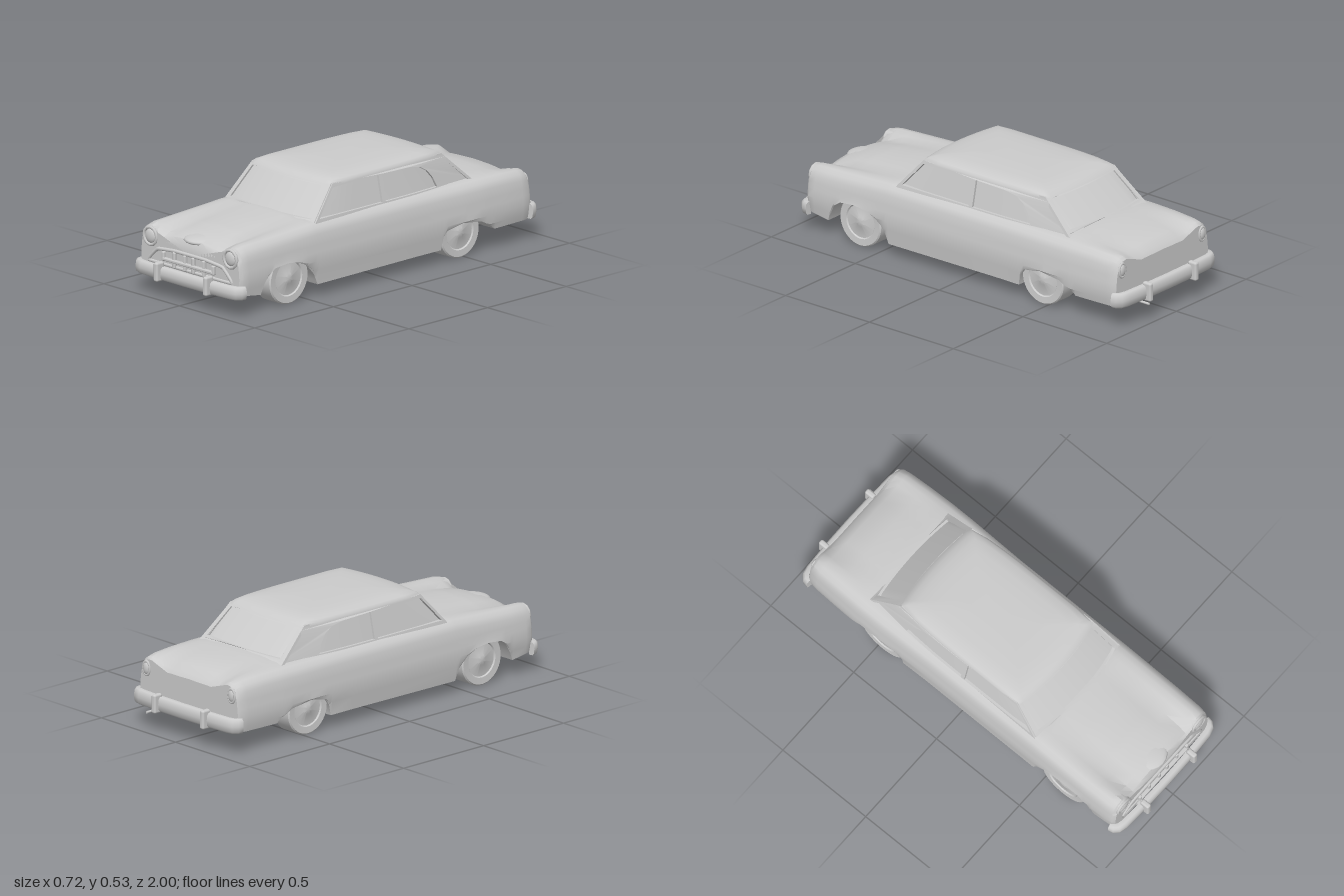
import * as THREE from 'three';
import { toCreasedNormals } from 'three/addons/utils/BufferGeometryUtils.js';
import { RoundedBoxGeometry } from 'three/addons/geometries/RoundedBoxGeometry.js';

const mat = new THREE.MeshStandardMaterial({ color: 0xcccccc, side: THREE.DoubleSide });

// Piecewise-linear lookup in rows [z, a, b, ...] sorted by falling z
function sample(rows, z) {
  let i = 0;
  while (i < rows.length - 2 && z < rows[i + 1][0]) i++;
  const a = rows[i], b = rows[i + 1];
  const t = THREE.MathUtils.clamp((z - a[0]) / (b[0] - a[0]), 0, 1);
  return a.slice(1).map((v, k) => v + (b[k + 1] - v) * t);
}

// Skin over closed rings of [x, y, z], capped at both ends
function loft(rings, crease = 0.6) {
  const n = rings[0].length, pos = rings.flat(2), idx = [];
  for (let i = 0; i < rings.length - 1; i++) for (let j = 0; j < n; j++) {
    const a = i * n + j, b = i * n + (j + 1) % n;
    idx.push(a, b, a + n, b, b + n, a + n);
  }
  [0, rings.length - 1].forEach((r, end) => {
    const c = pos.length / 3;
    for (let k = 0; k < 3; k++) pos.push(rings[r].reduce((s, p) => s + p[k], 0) / n);
    for (let j = 0; j < n; j++) {
      const a = r * n + j, b = r * n + (j + 1) % n;
      end ? idx.push(c, a, b) : idx.push(c, b, a);
    }
  });
  const g = new THREE.BufferGeometry();
  g.setAttribute('position', new THREE.Float32BufferAttribute(pos, 3));
  g.setIndex(idx);
  return toCreasedNormals(g, crease);
}
const mirrorRing = half => half.concat(half.slice(1, -1).reverse().map(([x, y, z]) => [-x, y, z]));

// z, half width, centre height, valley height, fender height
const bodyKeys = [
  [0.93, 0.325, 0.27, 0.255, 0.302], [0.915, 0.338, 0.295, 0.275, 0.318], [0.88, 0.342, 0.31, 0.29, 0.325],
  [0.75, 0.345, 0.332, 0.312, 0.33], [0.6, 0.345, 0.345, 0.33, 0.337], [0.45, 0.345, 0.355, 0.345, 0.345],
  [-0.2, 0.345, 0.355, 0.35, 0.345], [-0.5, 0.352, 0.36, 0.352, 0.345], [-0.62, 0.352, 0.36, 0.352, 0.345],
  [-0.75, 0.348, 0.35, 0.342, 0.343], [-0.86, 0.343, 0.33, 0.318, 0.337], [-0.9, 0.338, 0.305, 0.3, 0.33],
  [-0.915, 0.33, 0.285, 0.28, 0.318]];
// Underside height, with the wheel arches
const floorKeys = [
  [0.93, 0.1], [0.8, 0.082], [0.785, 0.12], [0.76, 0.165], [0.72, 0.195], [0.64, 0.203], [0.57, 0.195], [0.51, 0.165],
  [0.465, 0.115], [0.44, 0.06], [-0.34, 0.065], [-0.352, 0.12], [-0.375, 0.152], [-0.47, 0.17], [-0.59, 0.155],
  [-0.65, 0.122], [-0.68, 0.1], [-0.915, 0.1]];

function bodyRing(z) {
  const [w, cy, vy, fy] = sample(bodyKeys, z), [bot] = sample(floorKeys, z);
  const half = [[0, cy], [0.07, cy - 0.002], [0.13, cy * 0.6 + vy * 0.4], [0.19, vy], [0.235, (vy + fy) / 2 + 0.003],
    [0.268, fy], [0.295, fy - 0.004], [0.318, fy - 0.02], [0.331, fy - 0.048], [0.336, 0.25], [0.341, 0.215],
    [0.345, 0.175], [0.34, 0.13], [0.333, bot], [0.17, bot], [0, bot]];
  return mirrorRing(half.map(([x, y]) => [x * w / 0.345, Math.max(y, bot), z]));
}

// Cabin surface: windscreen, rear slope and sides
const frontZ = (x, y) => 0.45 - (y - 0.35) * 0.93 - 0.4 * x * x;
const rearZ = (x, y) => -0.61 + (y - 0.35) * 1.15 + 0.3 * x * x;
const sideX = (y, z) => 0.3 - (y - 0.34) * 0.22 - (z < -0.1 ? 0.15 * (z + 0.1) ** 2 : 0);

function cabinRing(y, inset) {
  const half = [], N = 8, xf = sideX(y, 0) - inset, xr = sideX(y, -0.45) - inset;
  const zf = frontZ(xf, y) - inset, zr = rearZ(xr, y) + inset;
  for (let i = 0; i < N; i++) half.push([xf * i / N, y, frontZ(xf * i / N, y) - inset]);
  for (let i = 0; i <= N; i++) {
    const z = zf + (zr - zf) * i / N;
    half.push([sideX(y, z) - inset - (i % N ? 0 : 0.008), y, z]);
  }
  for (let i = N - 1; i >= 0; i--) half.push([xr * i / N, y, rearZ(xr * i / N, y) + inset]);
  return mirrorRing(half);
}

// Flat frame with holes, bent onto a surface by a rule
function bentFrame(outer, holes, rule) {
  const dense = pts => pts.flatMap((p, i) => {
    const q = pts[(i + 1) % pts.length];
    return Array.from({ length: 8 }, (_, k) =>
      new THREE.Vector2(p[0] + (q[0] - p[0]) * k / 8, p[1] + (q[1] - p[1]) * k / 8));
  });
  const shape = new THREE.Shape(dense(outer));
  shape.holes = holes.map(h => new THREE.Path(dense(h)));
  const g = new THREE.ExtrudeGeometry(shape, { depth: 0.02, bevelEnabled: false });
  const p = g.attributes.position;
  for (let i = 0; i < p.count; i++) p.setXYZ(i, ...rule(p.getX(i), p.getY(i), p.getZ(i)));
  return toCreasedNormals(g, 0.5);
}
const trapezoid = (y0, w0, y1, w1) => [[-w0, y0], [w0, y0], [w1, y1], [-w1, y1]];

// Wrap-around bumper facing +z, centred on its own height
function bumperGeometry(height) {
  const half = [[0.338, 0.91], [0.335, 0.93], [0.322, 0.944], [0.29, 0.952], [0.15, 0.958], [0, 0.96]];
  const path = half.concat(half.slice(0, -1).reverse().map(([x, z]) => [-x, z]));
  const h = height / 2;
  const section = [[0.008, -h], [0.017, -h * 0.7], [0.02, 0], [0.017, h * 0.7], [0.008, h], [-0.012, h], [-0.012, -h]];
  return loft(path.map(([x, z], i) => {
    const a = path[Math.max(i - 1, 0)], b = path[Math.min(i + 1, path.length - 1)];
    const tx = b[0] - a[0], tz = b[1] - a[1], l = Math.hypot(tx, tz);
    return section.map(([n, y]) => [x + n * tz / l, y, z - n * tx / l]);
  }), 0.9);
}

export function createModel() {
  const car = new THREE.Group();
  car.name = 'car';
  const add = (name, geo, x = 0, y = 0, z = 0, parent = car) => {
    const m = new THREE.Mesh(geo, mat);
    m.name = name;
    m.position.set(x, y, z);
    parent.add(m);
    return m;
  };

  // Body shell
  const zs = [...new Set([...bodyKeys, ...floorKeys].map(r => r[0]))].sort((a, b) => b - a);
  add('body', loft(zs.map(bodyRing)));
  add('hoodScoop', new THREE.SphereGeometry(1, 24, 12).scale(0.1, 0.025, 0.12), 0, 0.29, 0.82);

  // Cabin: recessed glass, roof and window frames
  add('glass', loft([0.32, 0.4, 0.5].map(y => cabinRing(y, 0.012))));
  add('roof', loft([[0.487, -0.002], [0.497, -0.002], [0.507, 0.006], [0.516, 0.028], [0.522, 0.075], [0.526, 0.16]]
    .map(([y, inset]) => cabinRing(y, inset)), 0.9));
  add('windscreenFrame', bentFrame(trapezoid(0.335, 0.293, 0.495, 0.262), [trapezoid(0.352, 0.268, 0.484, 0.242)],
    (x, y, d) => [x, y, frontZ(x, y) - 0.02 + d]));
  add('rearWindowFrame', bentFrame(trapezoid(0.335, 0.278, 0.495, 0.248), [trapezoid(0.366, 0.245, 0.482, 0.225)],
    (x, y, d) => [-x, y, rearZ(x, y) + 0.02 - d]));
  const sideFrame = bentFrame(
    [[0.425, 0.335], [0.282, 0.495], [-0.425, 0.495], [-0.605, 0.335]].map(([z, y]) => [-z, y]).reverse(),
    [[[0.392, 0.354], [0.284, 0.478], [-0.008, 0.48], [-0.008, 0.354]],
      [[-0.028, 0.354], [-0.028, 0.48], [-0.2, 0.476], [-0.27, 0.464], [-0.315, 0.437], [-0.345, 0.4], [-0.365, 0.354]]]
      .map(h => h.map(([z, y]) => [-z, y])),
    (s, y, d) => [sideX(y, -s) - 0.02 + d, y, -s]);
  for (const s of [1, -1]) add(s > 0 ? 'leftWindowFrame' : 'rightWindowFrame', sideFrame).scale.x = s;

  // Wheels
  const tyre = new THREE.LatheGeometry([[0, -0.054], [0.115, -0.054], [0.122, -0.048], [0.122, 0.048], [0.116, 0.054],
    [0.085, 0.052], [0.08, 0.046], [0.03, 0.05], [0.022, 0.054], [0, 0.056]]
    .map(p => new THREE.Vector2(...p)), 40);
  const wheelGeo = toCreasedNormals(tyre, 0.6);
  for (const s of [1, -1]) for (const [name, z] of [['frontWheel', 0.615], ['rearWheel', -0.473]])
    add(name, wheelGeo, s * 0.273, 0.122, z).rotation.z = -s * Math.PI / 2;

  // Headlights and tail lights
  for (const s of [1, -1]) {
    const lamp = new THREE.Group();
    lamp.name = 'headlight';
    lamp.position.set(s * 0.265, 0.265, 0.925);
    car.add(lamp);
    add('headlightHousing', new THREE.CylinderGeometry(0.048, 0.055, 0.06, 12).rotateX(Math.PI / 2), 0, 0, -0.026, lamp);
    add('headlightRim', new THREE.TorusGeometry(0.042, 0.008, 8, 12), 0, 0, 0.004, lamp);
    add('headlightLens', new THREE.SphereGeometry(0.034, 20, 12).scale(1, 1, 0.4), 0, 0, 0.002, lamp);
    add('tailLightRim', new THREE.TorusGeometry(0.026, 0.006, 8, 20).scale(0.85, 1.25, 1), s * 0.287, 0.272, -0.915);
    add('tailLightLens', new THREE.SphereGeometry(0.024, 16, 10).scale(0.85, 1.25, 0.5), s * 0.287, 0.272, -0.915);
  }

  // Grille
  const tube = (name, pts, r, closed) => add(name, new THREE.TubeGeometry(
    new THREE.CatmullRomCurve3(pts.map(p => new THREE.Vector3(...p)), closed, 'catmullrom', 0.08), 80, r, 8, closed));
  tube('grilleSurround', [[-0.275, 0.15, 0.928], [0.275, 0.15, 0.928], [0.215, 0.215, 0.93], [0.1, 0.227, 0.932],
    [-0.1, 0.227, 0.932], [-0.215, 0.215, 0.93]], 0.009, true);
  add('grilleBar', new RoundedBoxGeometry(0.33, 0.015, 0.02, 2, 0.005), 0, 0.18, 0.942);
  for (const x of [-0.098, -0.028, 0.028, 0.098])
    add('grilleTooth', new RoundedBoxGeometry(0.018, 0.078, 0.02, 2, 0.006), x, 0.184, 0.936);
  for (const x of [-0.165, 0.165])
    add('grillePost', new RoundedBoxGeometry(0.018, 0.045, 0.02, 2, 0.006), x, 0.192, 0.94);

  // Bumpers with guards
  for (const [name, y, h, guardY, turn] of [['frontBumper', 0.115, 0.062, 0.125, 0], ['rearBumper', 0.138, 0.07, 0.142, Math.PI]]) {
    const bumper = new THREE.Group();
    bumper.name = name;
    bumper.rotation.y = turn;
    bumper.position.z = turn ? 0.008 : 0;
    car.add(bumper);
    add('bumperBar', bumperGeometry(h), 0, y, 0, bumper);
    for (const s of [1, -1]) {
      add('bumperGuard', new RoundedBoxGeometry(0.027, 0.092, 0.05, 3, 0.01), s * 0.163, guardY, 0.974, bumper);
      add('bumperBracket', new THREE.BoxGeometry(0.03, 0.03, 0.1), s * 0.163, y, 0.91, bumper);
    }
  }

  // Exhaust pipe
  add('exhaustPipe', new THREE.CylinderGeometry(0.006, 0.006, 0.25, 12).rotateX(Math.PI / 2), 0.195, 0.098, -0.875);
  return car;
}
